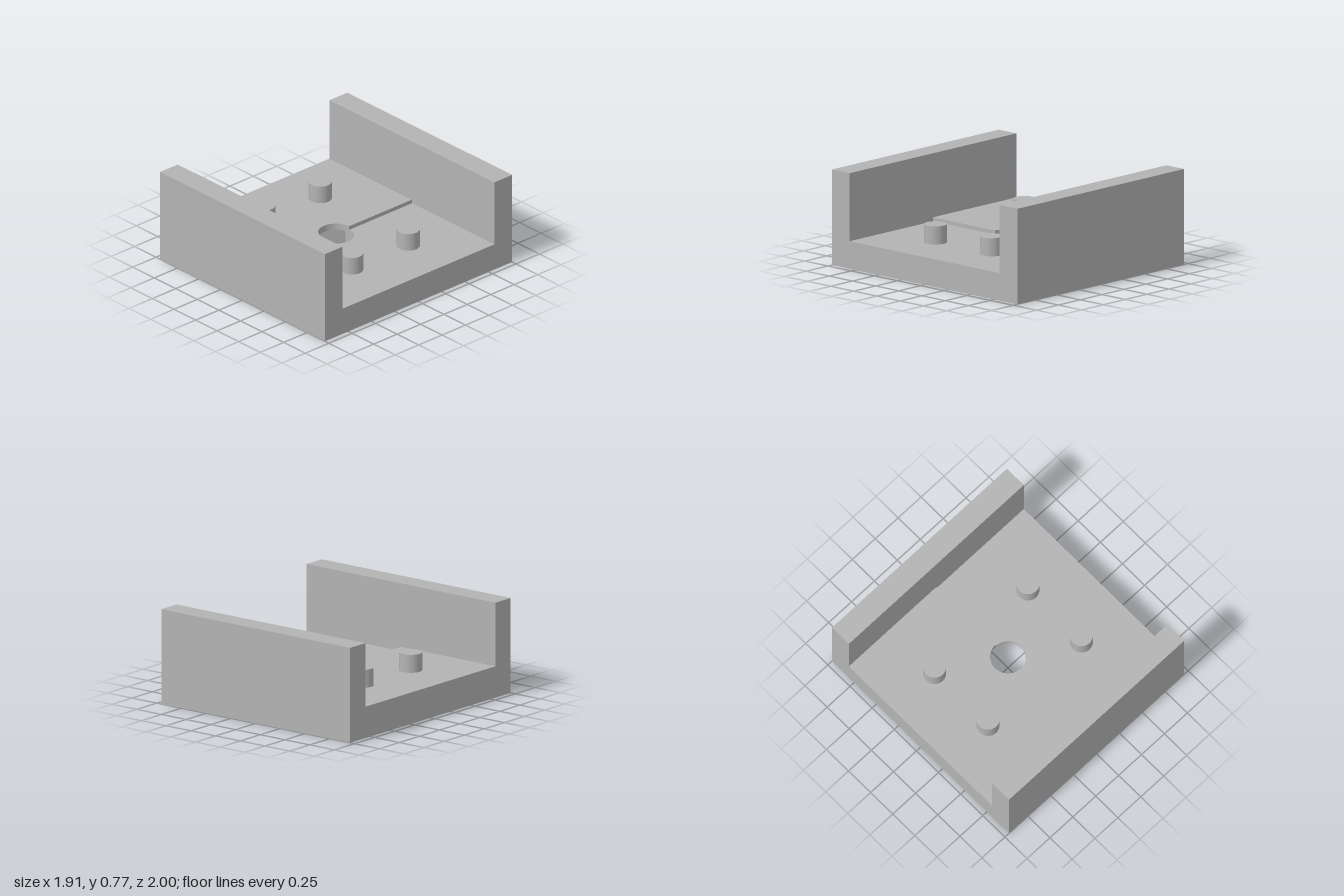
import * as THREE from 'three';

export function createModel() {
  const model = new THREE.Group();
  model.name = 'channelBracket';
  const grey = new THREE.MeshStandardMaterial({ color: 0xb3b3b3 });
  grey.name = 'grey';

  const halfX = 0.955, innerZ = 0.81, height = 0.77;
  const pocketTop = 0.2, floorLow = 0.222, floorHigh = 0.254;
  const holeR = 0.14, hexR = 0.256;

  const add = (name, geometry, x = 0, y = 0, z = 0) => {
    const mesh = new THREE.Mesh(geometry, grey);
    mesh.name = name;
    mesh.position.set(x, y, z);
    model.add(mesh);
  };

  // Horizontal slab from a plan shape, between two heights
  const slab = (name, shape, y0, y1) => {
    const geometry = new THREE.ExtrudeGeometry(shape, { depth: y1 - y0, bevelEnabled: false, curveSegments: 48 });
    add(name, geometry.rotateX(-Math.PI / 2), 0, y0, 0);
  };

  const floorPlan = () => new THREE.Shape([
    new THREE.Vector2(-halfX, -innerZ), new THREE.Vector2(halfX, -innerZ),
    new THREE.Vector2(halfX, innerZ), new THREE.Vector2(-halfX, innerZ),
  ]);

  // Lower floor with the hexagonal nut pocket
  const lower = floorPlan();
  const hex = [];
  for (let i = 0; i < 6; i++) {
    const a = -i * Math.PI / 3;
    hex.push(new THREE.Vector2(hexR * Math.cos(a), hexR * Math.sin(a)));
  }
  lower.holes.push(new THREE.Path(hex));
  slab('pocketFloor', lower, 0, pocketTop);

  // Upper floor skin with the round bolt hole
  const upper = floorPlan();
  upper.holes.push(new THREE.Path().absarc(0, 0, holeR, 0, Math.PI * 2, true));
  slab('boltHoleFloor', upper, pocketTop, floorLow);

  // Raised half of the floor, notched around the bolt hole
  const step = new THREE.Shape();
  step.moveTo(0, -innerZ);
  step.lineTo(-halfX, -innerZ);
  step.lineTo(-halfX, innerZ);
  step.lineTo(0, innerZ);
  step.lineTo(0, holeR);
  step.absarc(0, 0, holeR, Math.PI / 2, Math.PI * 1.5, false);
  slab('raisedFloor', step, floorLow, floorHigh);

  // Side walls and locating pegs
  const wall = 1 - innerZ, pegHeight = 0.146;
  for (const side of [1, -1]) {
    add(side > 0 ? 'frontWall' : 'backWall',
      new THREE.BoxGeometry(halfX * 2, height, wall), 0, height / 2, side * (1 - wall / 2));
    for (const x of [-0.51, 0.51]) {
      const base = x < 0 ? floorHigh : floorLow;
      add('peg', new THREE.CylinderGeometry(0.091, 0.091, pegHeight, 48), x, base + pegHeight / 2, side * 0.302);
    }
  }
  return model;
}
